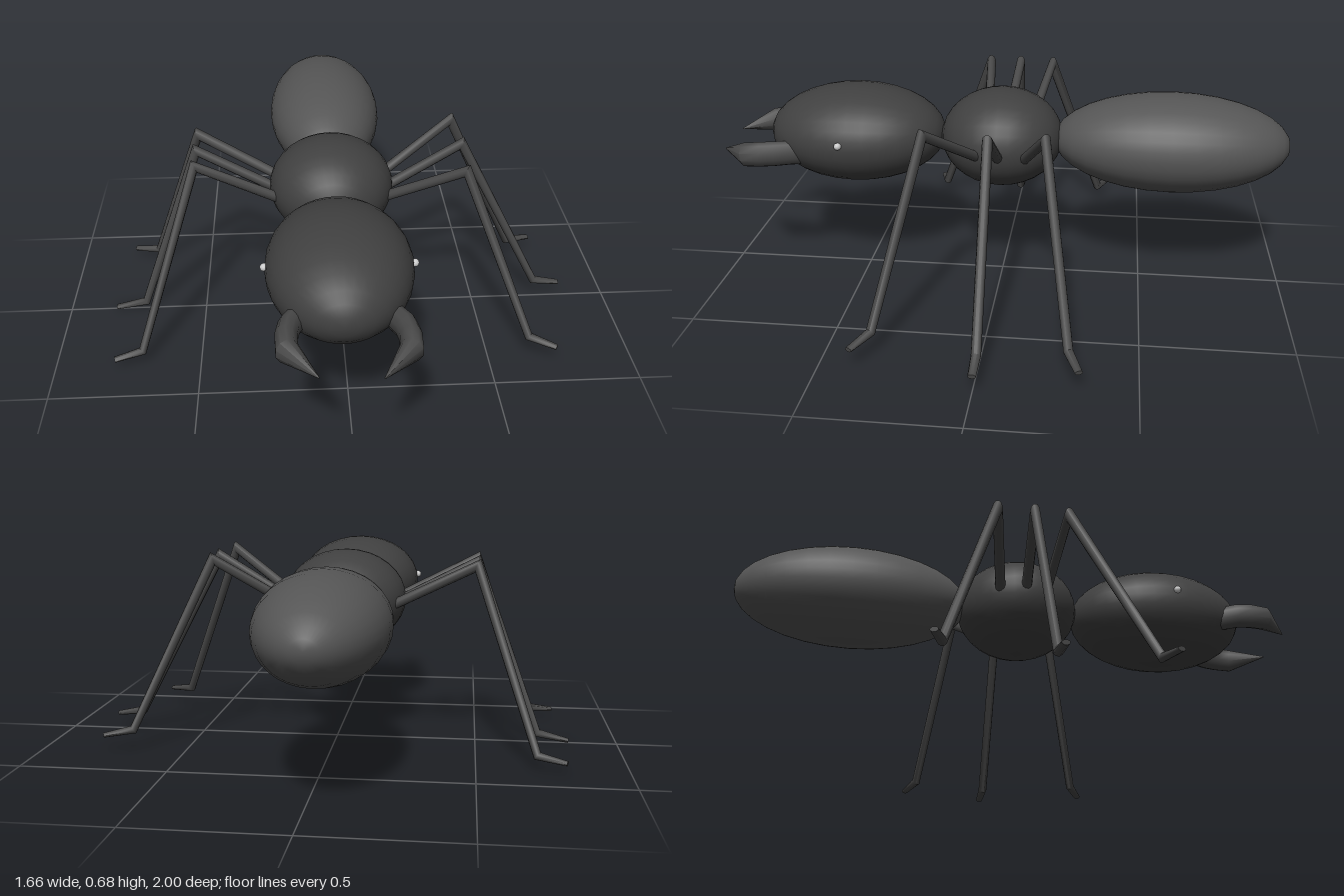
import * as THREE from 'three';
import { toCreasedNormals } from 'three/addons/utils/BufferGeometryUtils.js';

const V = (p) => new THREE.Vector3(...p);

const shell = new THREE.MeshStandardMaterial({ color: 0x404040 });
const abdomenShell = new THREE.MeshStandardMaterial({ color: 0x555555 });
const limb = new THREE.MeshStandardMaterial({ color: 0x484848 });
const eyeGrey = new THREE.MeshStandardMaterial({ color: 0xcccccc });

// Mitred sweep of an elliptical section; radii[i] = [along ref, across ref].
function sweep(points, radii, ref, sides) {
  const pos = [], index = [], n = points.length;
  points.forEach((p, i) => {
    const a = p.clone().sub(points[Math.max(i - 1, 0)]).normalize();
    const b = points[Math.min(i + 1, n - 1)].clone().sub(p).normalize();
    const t = a.clone().add(b).normalize();
    const N = ref.clone().addScaledVector(t, -ref.dot(t)).normalize();
    const B = new THREE.Vector3().crossVectors(t, N);
    const mitre = 1 / Math.max(0.5, t.dot(i ? a : b));
    for (let j = 0; j < sides; j++) {
      const ang = (j / sides) * Math.PI * 2;
      const q = p.clone()
        .addScaledVector(N, Math.cos(ang) * radii[i][0])
        .addScaledVector(B, Math.sin(ang) * radii[i][1] * mitre);
      pos.push(q.x, q.y, q.z);
    }
  });
  for (let i = 0; i < n - 1; i++) {
    for (let j = 0; j < sides; j++) {
      const k = (j + 1) % sides, a = i * sides + j, b = i * sides + k;
      index.push(a, b, a + sides, b, b + sides, a + sides);
    }
  }
  // End caps
  const last = (n - 1) * sides;
  for (let j = 1; j < sides - 1; j++) {
    index.push(0, j + 1, j, last, last + j, last + j + 1);
  }
  const geo = new THREE.BufferGeometry();
  geo.setAttribute('position', new THREE.Float32BufferAttribute(pos, 3));
  geo.setIndex(index);
  return toCreasedNormals(geo, 0.9);
}

export function createModel() {
  const model = new THREE.Group();
  model.name = 'ant';

  const add = (name, geo, mat) => {
    const mesh = new THREE.Mesh(geo, mat);
    mesh.name = name;
    model.add(mesh);
    return mesh;
  };

  // Ellipsoid with its poles along z
  const ellipsoid = (name, [x, y, z], [rx, ry, rz], mat, seg = 32) => {
    const geo = new THREE.SphereGeometry(1, seg, seg / 2);
    geo.rotateX(Math.PI / 2).scale(rx, ry, rz).translate(x, y, z);
    return add(name, geo, mat);
  };

  // Body
  ellipsoid('abdomen', [-0.03, 0.52, -0.59], [0.212, 0.172, 0.41], abdomenShell);
  ellipsoid('thorax', [-0.03, 0.52, 0.005], [0.215, 0.172, 0.215], shell);
  ellipsoid('head', [-0.03, 0.52, 0.525], [0.232, 0.172, 0.315], shell);

  // Eyes
  ellipsoid('rightEye', [-0.262, 0.54, 0.545], [0.013, 0.013, 0.013], eyeGrey, 12);
  ellipsoid('leftEye', [0.202, 0.54, 0.545], [0.013, 0.013, 0.013], eyeGrey, 12);

  // Mandibles: hooked pincers curving in to a point
  const hook = [
    [0.13, 0, 0.68], [0.145, 0, 0.74], [0.17, 0.003, 0.79],
    [0.178, 0.002, 0.835], [0.176, -0.002, 0.89], [0.09, -0.015, 0.995],
  ];
  const hookRadii = [
    [0.045, 0.03], [0.045, 0.032], [0.046, 0.034],
    [0.046, 0.034], [0.044, 0.034], [0.002, 0.002],
  ];
  for (const [name, s, y] of [['leftMandible', 1, 0.48], ['rightMandible', -1, 0.49]]) {
    const path = hook.map(([x, dy, z]) => V([-0.021 + s * x, y + dy, z]));
    add(name, sweep(path, hookRadii, V([0, 1, 0]), 10), limb);
  }

  // Legs: hip, knee, ankle, toe
  const legs = {
    leftFrontLeg: [[0.13, 0.49, 0.06], [0.41, 0.67, 0.21], [0.64, 0.085, 0.35], [0.73, 0.072, 0.4]],
    leftMiddleLeg: [[0.14, 0.49, 0], [0.425, 0.665, 0], [0.73, 0.08, 0], [0.825, 0.066, 0]],
    leftBackLeg: [[0.13, 0.49, -0.085], [0.41, 0.67, -0.18], [0.68, 0.083, -0.28], [0.775, 0.07, -0.317]],
    rightFrontLeg: [[-0.17, 0.49, 0.075], [-0.495, 0.655, 0.1], [-0.7, 0.055, 0.32], [-0.795, 0.042, 0.347]],
    rightMiddleLeg: [[-0.18, 0.49, 0.01], [-0.495, 0.655, -0.015], [-0.72, 0.04, 0.003], [-0.83, 0.016, 0]],
    rightBackLeg: [[-0.17, 0.49, -0.075], [-0.495, 0.655, -0.14], [-0.7, 0.055, -0.33], [-0.795, 0.042, -0.362]],
  };
  const legRadii = [[0.018, 0.018], [0.017, 0.017], [0.016, 0.014], [0.013, 0.008]];
  for (const [name, joints] of Object.entries(legs)) {
    const path = joints.map(V);
    const ref = path[3].clone().sub(path[0]).cross(V([0, 1, 0])).normalize();
    add(name, sweep(path, legRadii, ref, 10), limb);
  }

  return model;
}
